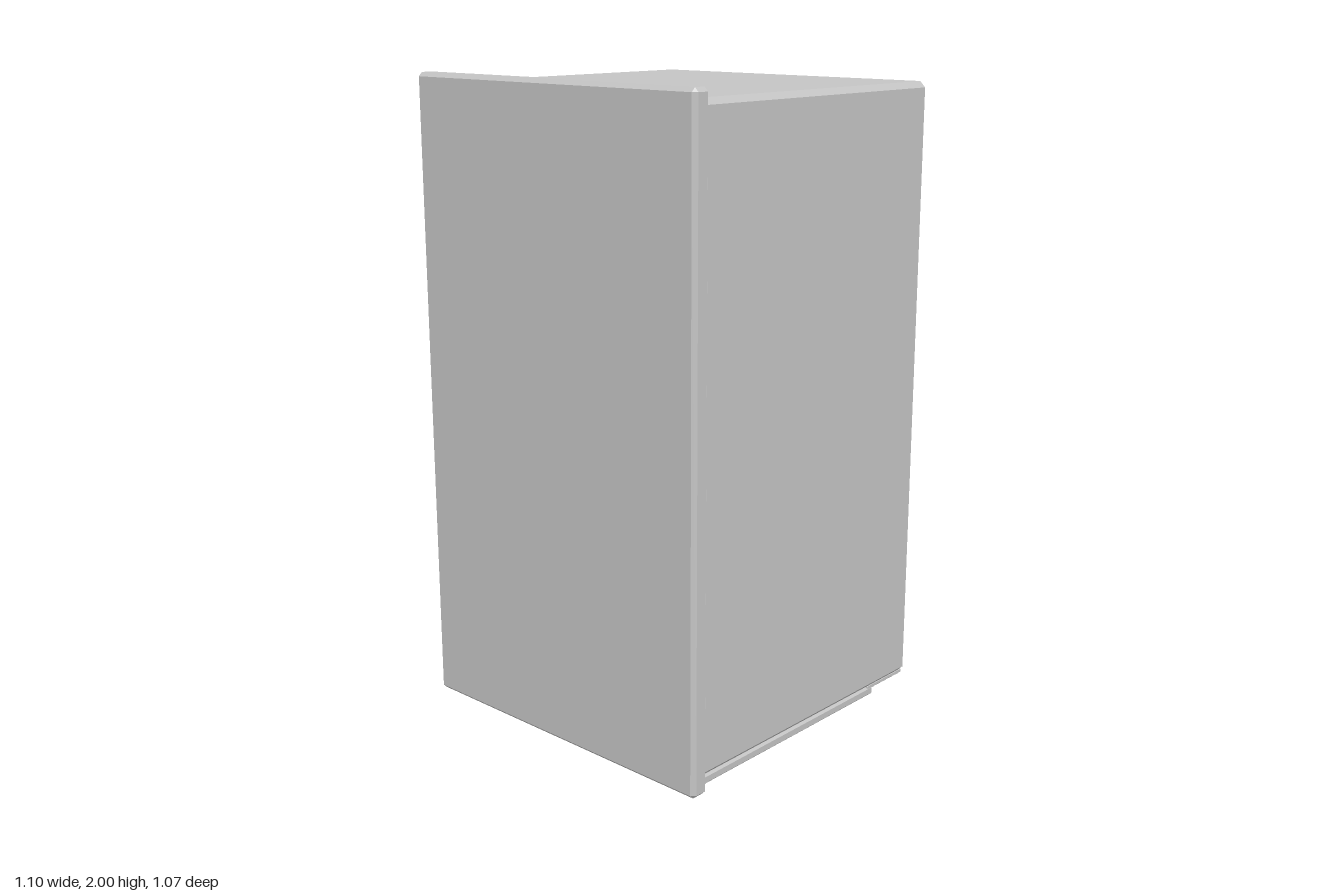
import * as THREE from 'three';
import { ConvexGeometry } from 'three/addons/geometries/ConvexGeometry.js';

// Box between two corners with every edge cut at 45 degrees
function chamferBox(name, min, max, c, material) {
  const centre = min.map((v, i) => (v + max[i]) / 2);
  const half = min.map((v, i) => (max[i] - v) / 2);
  const points = [];
  for (const sx of [-1, 1]) for (const sy of [-1, 1]) for (const sz of [-1, 1]) {
    for (let axis = 0; axis < 3; axis++) {
      const p = [sx, sy, sz].map((s, i) => s * (half[i] - (i === axis ? 0 : c)));
      points.push(new THREE.Vector3(...p));
    }
  }
  const mesh = new THREE.Mesh(new ConvexGeometry(points), material);
  mesh.name = name;
  mesh.position.set(...centre);
  return mesh;
}

export function createModel() {
  const group = new THREE.Group();
  group.name = 'cabinet';
  const grey = new THREE.MeshStandardMaterial({ color: 0xc4c4c4 });
  grey.name = 'light grey';

  group.add(
    // Main case and the overhanging front door
    chamferBox('body', [-0.522, 0.07, -0.538], [0.522, 1.97, 0.474], 0.018, grey),
    chamferBox('door', [-0.55, 0.04, 0.476], [0.55, 2, 0.536], 0.012, grey),
    // Underside: base panel, thin rear strip and small runner
    chamferBox('basePanel', [-0.505, 0.034, -0.38], [0.505, 0.064, 0.444], 0.006, grey),
    chamferBox('rearStrip', [-0.505, 0.056, -0.538], [0.505, 0.071, -0.35], 0.003, grey),
    chamferBox('runner', [0.293, 0, 0], [0.327, 0.036, 0.242], 0.006, grey),
  );

  // Filler joining the base panel to the case
  const filler = new THREE.Mesh(new THREE.BoxGeometry(0.96, 0.014, 0.78), grey);
  filler.name = 'baseFiller';
  filler.position.set(0, 0.067, 0.03);
  group.add(filler);

  return group;
}
